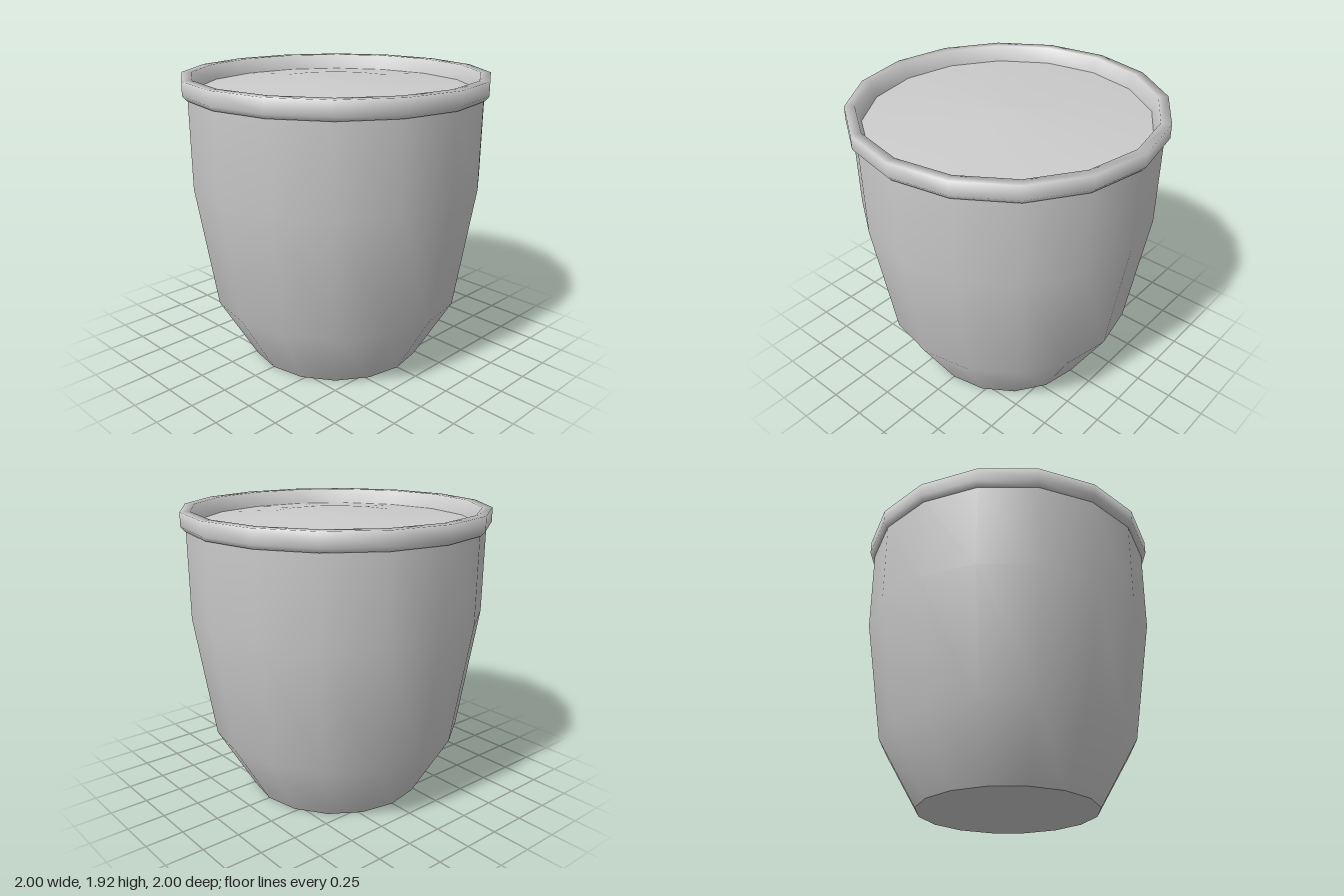
import * as THREE from 'three';

const SIDES = 16;

export function createModel() {
  const pot = new THREE.Group();
  pot.name = 'plantPot';
  const material = new THREE.MeshStandardMaterial({ color: 0xcccccc });

  const add = (name, geometry) => {
    const mesh = new THREE.Mesh(geometry, material);
    mesh.name = name;
    pot.add(mesh);
  };
  const lathe = (points) =>
    new THREE.LatheGeometry(points.map(([r, y]) => new THREE.Vector2(r, y)), SIDES);

  // Tapered outer wall
  add('wall', lathe([[0.59, 0], [0.84, 0.43], [0.965, 1.24], [0.968, 1.81]]));

  // Overhanging lip, rolling over and down to the soil
  add('rim', lathe([[0.965, 1.8], [0.975, 1.8], [1, 1.83], [1, 1.92], [0.935, 1.92], [0.905, 1.82]]));

  // Soil, slightly mounded in the middle
  add('soil', lathe([[0.905, 1.82], [0.45, 1.86], [0, 1.875]]));

  // Flat underside
  const base = new THREE.CircleGeometry(0.59, SIDES);
  base.rotateX(Math.PI / 2);
  add('base', base);

  return pot;
}
